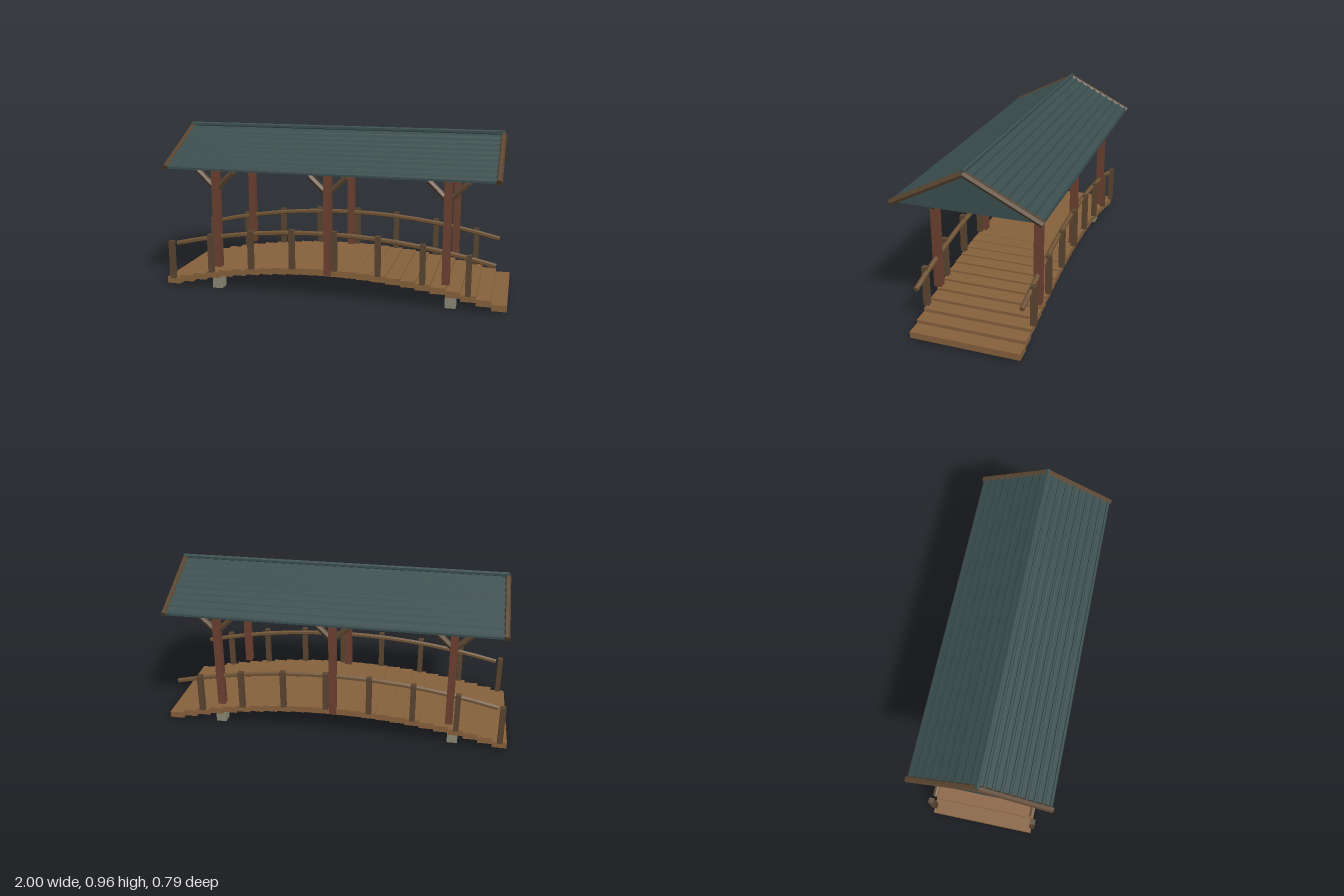
import * as THREE from 'three';

const mat = (name, color) => {
  const m = new THREE.MeshStandardMaterial({ color, flatShading: true });
  m.name = name;
  return m;
};

export function createModel() {
  const root = new THREE.Group();
  root.name = 'coveredFootbridge';
  const deckWood = mat('deck wood', 0x86603c);
  const redWood = mat('red wood', 0x6b4030);
  const darkWood = mat('dark wood', 0x5a4530);
  const railWood = mat('rail wood', 0x6e5234);
  const roofGreen = mat('roof slate green', 0x3a4d4d);
  const stone = mat('stone', 0x8a8874);

  const group = (name) => {
    const g = new THREE.Group();
    g.name = name;
    root.add(g);
    return g;
  };
  const add = (parent, name, geo, material) => {
    const m = new THREE.Mesh(geo, material);
    m.name = name;
    parent.add(m);
    return m;
  };
  const box = (parent, name, material, w, h, d, x, y, z) =>
    add(parent, name, new THREE.BoxGeometry(w, h, d), material).position.set(x, y, z);

  // Six-sided pole between two points; spin turns its corners
  const pole = (parent, name, material, a, b, r, spin = 0) => {
    const from = new THREE.Vector3(...a), to = new THREE.Vector3(...b);
    const dir = to.clone().sub(from);
    const geo = new THREE.CylinderGeometry(r, r, dir.length(), 6).rotateY(spin);
    const m = add(parent, name, geo, material);
    m.position.copy(from).add(to).multiplyScalar(0.5);
    m.quaternion.setFromUnitVectors(new THREE.Vector3(0, 1, 0), dir.normalize());
  };

  // Arched deck of stepped planks
  const deckTop = (x) => 0.178 - 0.132 * x * x;
  const deck = group('deck');
  const planks = 24, plankW = 2 / planks;
  for (let i = 0; i < planks; i++) {
    const x = -1 + (i + 0.5) * plankW;
    box(deck, 'plank', deckWood, plankW, 0.037, 0.6, x, deckTop(x) - 0.0185, 0);
  }

  // Footing stones
  const footings = group('footings');
  for (const x of [-0.693, 0.693])
    for (const z of [-0.232, 0.232]) box(footings, 'footing', stone, 0.06, 0.08, 0.063, x, 0.04, z);

  const railY = (x) => 0.385 - 0.133 * x * x;
  for (const side of [1, -1]) {
    const z = side * 0.285;

    // Roof posts with a pair of slanted braces
    const frame = group(side > 0 ? 'frontPosts' : 'backPosts');
    for (const x of [-0.667, 0, 0.667]) {
      box(frame, 'roofPost', redWood, 0.042, 0.597, 0.042, x, 0.4465, z);
      for (const s of [1, -1])
        pole(frame, 'brace', darkWood, [x, 0.612, z], [x + s * 0.108, 0.717, z], 0.018);
    }

    // Railing posts and the bent handrail
    const railing = group(side > 0 ? 'frontRailing' : 'backRailing');
    for (let i = 0; i < 8; i++) {
      const x = -0.96 + i * 0.25;
      box(railing, 'railPost', darkWood, 0.03, 0.23, 0.031, x, deckTop(x) + 0.115, side * 0.3);
    }
    const segs = 14;
    for (let i = 0; i < segs; i++) {
      const x0 = -0.93 + (1.86 * i) / segs, x1 = x0 + 1.86 / segs;
      pole(railing, 'handrail', railWood, [x0, railY(x0), z], [x1, railY(x1), z], 0.014, Math.PI / 6);
    }
  }

  // Ribbed roof sheet: outline across both slopes, extruded along the bridge
  const roof = group('roof');
  const slope = 0.505, ridgeY = 0.944, eave = 0.387, ribs = 9;
  const half = [];
  for (let i = 0; i < ribs; i++)
    for (const [t, h] of [[0, 0], [0.6, 0], [0.68, 0.009], [0.92, 0.009]]) {
      const s = ((i + t) / ribs) * eave;
      half.push([s, ridgeY - s * slope + h]);
    }
  half.push([eave, ridgeY - eave * slope]);
  const outline = new THREE.Shape();
  outline.moveTo(-eave, ridgeY - eave * slope - 0.012);
  [...half].reverse().forEach(([s, y]) => outline.lineTo(-s, y));
  half.slice(1).forEach(([s, y]) => outline.lineTo(s, y));
  outline.lineTo(eave, ridgeY - eave * slope - 0.012);
  outline.lineTo(0, ridgeY - 0.012);
  const sheet = new THREE.ExtrudeGeometry(outline, { depth: 1.86, bevelEnabled: false });
  sheet.translate(0, 0, -0.93).rotateY(Math.PI / 2);
  add(roof, 'roofSheet', sheet, roofGreen);
  pole(roof, 'ridgeCap', roofGreen, [-0.937, 0.952, 0], [0.937, 0.952, 0], 0.013, Math.PI / 6);

  // Gable walls and their edge poles
  const tri = new THREE.Shape([
    new THREE.Vector2(-0.375, 0.744), new THREE.Vector2(0.375, 0.744), new THREE.Vector2(0, 0.934),
  ]);
  for (const end of [1, -1]) {
    const gable = new THREE.ExtrudeGeometry(tri, { depth: 0.008, bevelEnabled: false });
    gable.translate(0, 0, -0.004).rotateY(Math.PI / 2);
    add(roof, 'gable', gable, roofGreen).position.x = end * 0.925;
    for (const side of [1, -1])
      pole(roof, 'gableEdge', darkWood, [end * 0.93, 0.941, 0], [end * 0.93, 0.743, side * 0.39], 0.017, Math.PI / 6);
  }
  return root;
}
